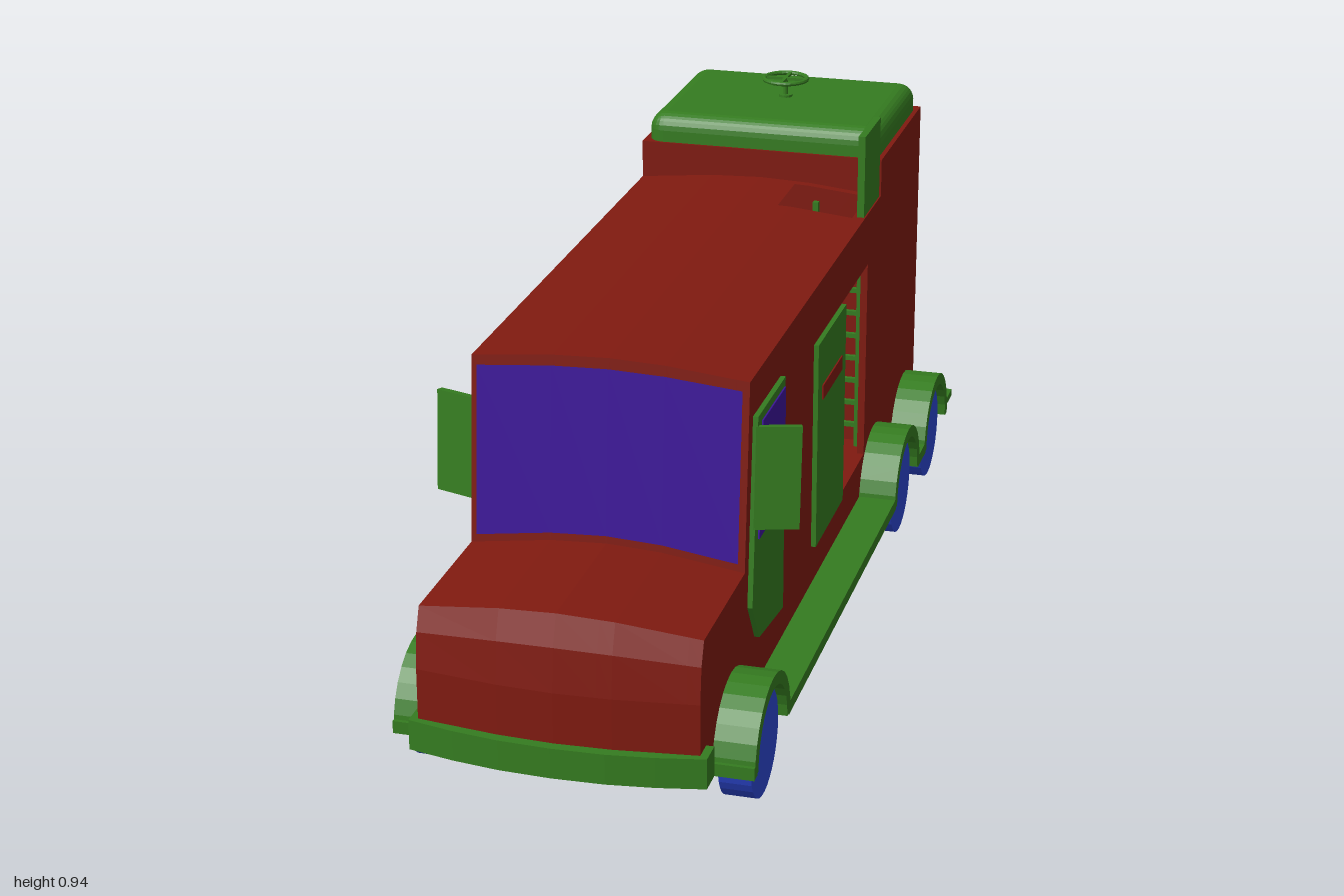
import * as THREE from 'three';
import { RoundedBoxGeometry } from 'three/addons/geometries/RoundedBoxGeometry.js';

const paint = (color) => new THREE.MeshStandardMaterial({ color, side: THREE.DoubleSide, flatShading: true });

export function createModel() {
  const root = new THREE.Group();
  const red = paint(0x801a10), green = paint(0x357c20), blue = paint(0x2c46d0), purple = paint(0x3c1499);
  const brown = paint(0x7a3a18);

  const add = (name, geo, mat, parent = root) => {
    const m = new THREE.Mesh(geo, mat);
    m.name = name;
    parent.add(m);
    return m;
  };
  // Box given by its limits on each axis
  const box = (name, mat, [x0, x1], [y0, y1], [z0, z1], parent) => {
    const m = add(name, new THREE.BoxGeometry(x1 - x0, y1 - y0, z1 - z0), mat, parent);
    m.position.set((x0 + x1) / 2, (y0 + y1) / 2, (z0 + z1) / 2);
    return m;
  };
  // Outline in (z, y), extruded between x0 and x1 on the chosen side
  const outline = (pts) => pts.map(([z, y]) => new THREE.Vector2(-z, y));
  const sidePanel = (name, mat, pts, x0, x1, side, hole) => {
    const shape = new THREE.Shape(outline(pts));
    if (hole) shape.holes.push(new THREE.Path(outline(hole)));
    const geo = new THREE.ExtrudeGeometry(shape, { depth: x1 - x0, bevelEnabled: false });
    geo.rotateY(Math.PI / 2).translate(side > 0 ? x0 : -x1, 0, 0);
    return add(name, geo, mat);
  };
  // Crowned sheet: rows of [z, y, rise at middle, bulge at middle]
  const crown = (x) => {
    const a = Math.abs(x) / 0.265;
    return a < 0.41 ? 1 - 0.5 * a : 0.795 * (1 - a) / 0.59;
  };
  const sheet = (name, mat, xs, rows, skip = () => false) => {
    const pos = [], idx = [], n = xs.length;
    for (const [z, y, dy, dz] of rows)
      for (const x of xs) pos.push(x, y + dy * crown(x), z + dz * crown(x));
    for (let r = 0; r < rows.length - 1; r++)
      for (let c = 0; c < n - 1; c++) {
        if (skip(r, c)) continue;
        const a = r * n + c, b = a + n;
        idx.push(a, b, b + 1, a, b + 1, a + 1);
      }
    const geo = new THREE.BufferGeometry();
    geo.setAttribute('position', new THREE.Float32BufferAttribute(pos, 3));
    geo.setIndex(idx);
    geo.computeVertexNormals();
    return add(name, geo, mat);
  };

  // Roof, windscreen frame, bonnet and nose, with a hatch opening in the roof
  const xs = [-0.265, -0.108, 0, 0.08, 0.108, 0.24, 0.265];
  sheet('roofAndBonnet', red, xs, [
    [-0.51, 0.76, 0.02, 0], [-0.49, 0.76, 0.02, 0], [-0.34, 0.76, 0.02, 0], [0.615, 0.76, 0.02, 0],
    [0.645, 0.395, 0.028, 0], [0.93, 0.395, 0.028, 0.02], [0.947, 0.35, 0.015, 0.024],
    [0.955, 0.28, 0, 0.025], [0.955, 0.12, 0, 0.025],
  ], (r, c) => r === 1 && (c === 3 || c === 4));
  const screenZ = (y) => 0.651 - (y - 0.395) * 0.082;
  sheet('windscreen', purple, [-0.253, -0.108, 0, 0.108, 0.253],
    [[screenZ(0.743), 0.743, 0.018, 0], [screenZ(0.412), 0.412, 0.028, 0]]);

  // Floor, rear walls and raised rear compartment
  box('floor', red, [-0.264, 0.264], [0.12, 0.19], [-0.929, 0.95]);
  box('rearWall', red, [-0.265, 0.265], [0.12, 0.84], [-0.93, -0.915]);
  box('partition', red, [-0.264, 0.264], [0.13, 0.84], [-0.525, -0.51]);
  box('rearTop', red, [-0.264, 0.264], [0.825, 0.84], [-0.929, -0.511]);
  box('partitionScreen', purple, [-0.12, 0.1], [0.31, 0.52], [-0.51, -0.505]);
  const cap = add('rearRoofCap', new RoundedBoxGeometry(0.51, 0.12, 0.41, 3, 0.035), green);
  cap.position.set(0, 0.84, -0.72);

  // Hand wheel on the rear cap
  const wheelGroup = new THREE.Group();
  wheelGroup.name = 'roofHandWheel';
  wheelGroup.position.set(0, 0.9, -0.73);
  root.add(wheelGroup);
  add('base', new THREE.CylinderGeometry(0.015, 0.015, 0.01, 16), green, wheelGroup);
  add('stem', new THREE.CylinderGeometry(0.005, 0.005, 0.04, 10), green, wheelGroup).position.y = 0.02;
  add('rim', new THREE.TorusGeometry(0.047, 0.005, 8, 28).rotateX(Math.PI / 2), green, wheelGroup).position.y = 0.04;
  for (const turn of [0, Math.PI / 2])
    add('spoke', new THREE.BoxGeometry(0.092, 0.006, 0.007).rotateY(turn), green, wheelGroup).position.y = 0.04;

  // Open roof hatch cover and the ladder below it
  box('hatchCover', green, [0.25, 0.265], [0.765, 0.94], [-0.49, -0.34]);
  for (const x of [0.13, 0.23]) box('ladderRail', green, [x - 0.006, x + 0.006], [0.19, 0.745], [-0.486, -0.474]);
  for (let i = 0; i < 10; i++) {
    const y = 0.24 + i * 0.052;
    box('ladderRung', green, [0.13, 0.23], [y - 0.005, y + 0.005], [-0.485, -0.475]);
  }

  // Curved front bumper and rear step
  const bumper = new THREE.Shape();
  bumper.moveTo(-0.28, -0.915);
  for (const [x, z] of [[-0.28, 0.965], [-0.19, 0.984], [-0.1, 0.996], [0, 1], [0.1, 0.996], [0.19, 0.984], [0.28, 0.965], [0.28, 0.915]])
    bumper.lineTo(x, -z);
  add('frontBumper', new THREE.ExtrudeGeometry(bumper, { depth: 0.06, bevelEnabled: false })
    .rotateX(-Math.PI / 2).translate(0, 0.12, 0), green);
  box('rearStep', green, [-0.345, 0.345], [0.12, 0.136], [-1, -0.925]);

  const axles = [0.74, -0.485, -0.81];
  for (const s of [1, -1]) {
    const span = (a, b) => (s > 0 ? [a, b] : [-b, -a]);

    // Side wall with its doorway
    sidePanel('sideWall', red, [
      [-0.93, 0.12], [-0.93, 0.84], [-0.51, 0.84], [-0.51, 0.76], [0.615, 0.76], [0.645, 0.395],
      [0.93, 0.395], [0.947, 0.35], [0.955, 0.28], [0.955, 0.12],
    ], 0.25, 0.265, s, [[-0.39, 0.21], [-0.39, 0.645], [-0.13, 0.645], [-0.13, 0.21]]);

    // Sliding door and handle
    box('slidingDoor', green, span(0.262, 0.275), [0.21, 0.645], [-0.14, 0.107]);
    box('slidingDoorHandle', red, span(0.27, 0.278), [0.518, 0.548], [-0.1, 0.072]);

    // Cab door and window
    sidePanel('cabDoor', green, [
      [0.383, 0.205], [0.383, 0.685], [0.592, 0.685], [0.625, 0.315], [0.57, 0.23],
    ], 0.262, 0.275, s);
    sidePanel('cabDoorWindow', purple, [
      [0.392, 0.44], [0.392, 0.668], [0.565, 0.668], [0.588, 0.44],
    ], 0.27, 0.278, s);

    // Wing mirror, swept back and leaning with the windscreen
    const mirror = new THREE.Group();
    mirror.name = 'wingMirror';
    mirror.position.set(s * 0.31, 0.566, 0.583);
    mirror.rotation.set(-0.08, s * 0.35, 0);
    root.add(mirror);
    add('mirrorShell', new THREE.BoxGeometry(0.085, 0.198, 0.014), green, mirror);
    add('mirrorGlass', new THREE.BoxGeometry(0.07, 0.18, 0.004), brown, mirror).position.z = -0.007;

    // Skirt, arches and wheels
    box('skirt', green, span(0.26, 0.345), [0.1, 0.125], [-0.365, 0.617]);
    box('skirtLink', green, span(0.26, 0.345), [0.1, 0.125], [-0.69, -0.605]);
    box('skirtFrontEnd', green, span(0.26, 0.345), [0.1, 0.125], [0.855, 0.88]);
    box('skirtRearEnd', green, span(0.26, 0.345), [0.1, 0.136], [-0.945, -0.925]);
    for (const z of axles) {
      const arch = [];
      for (let i = 0; i <= 14; i++) {
        const t = (Math.PI * i) / 14;
        arch.push([z + 0.135 * Math.cos(t), 0.104 + 0.135 * Math.sin(t)]);
      }
      for (let i = 14; i >= 0; i--) {
        const t = (Math.PI * i) / 14;
        arch.push([z + 0.11 * Math.cos(t), 0.104 + 0.11 * Math.sin(t)]);
      }
      sidePanel('wheelArch', green, arch, 0.26, 0.345, s);
      const wheel = add('wheel', new THREE.CylinderGeometry(0.103, 0.103, 0.062, 32).rotateZ(Math.PI / 2), blue);
      wheel.position.set(s * 0.298, 0.103, z);
    }
  }
  return root;
}
